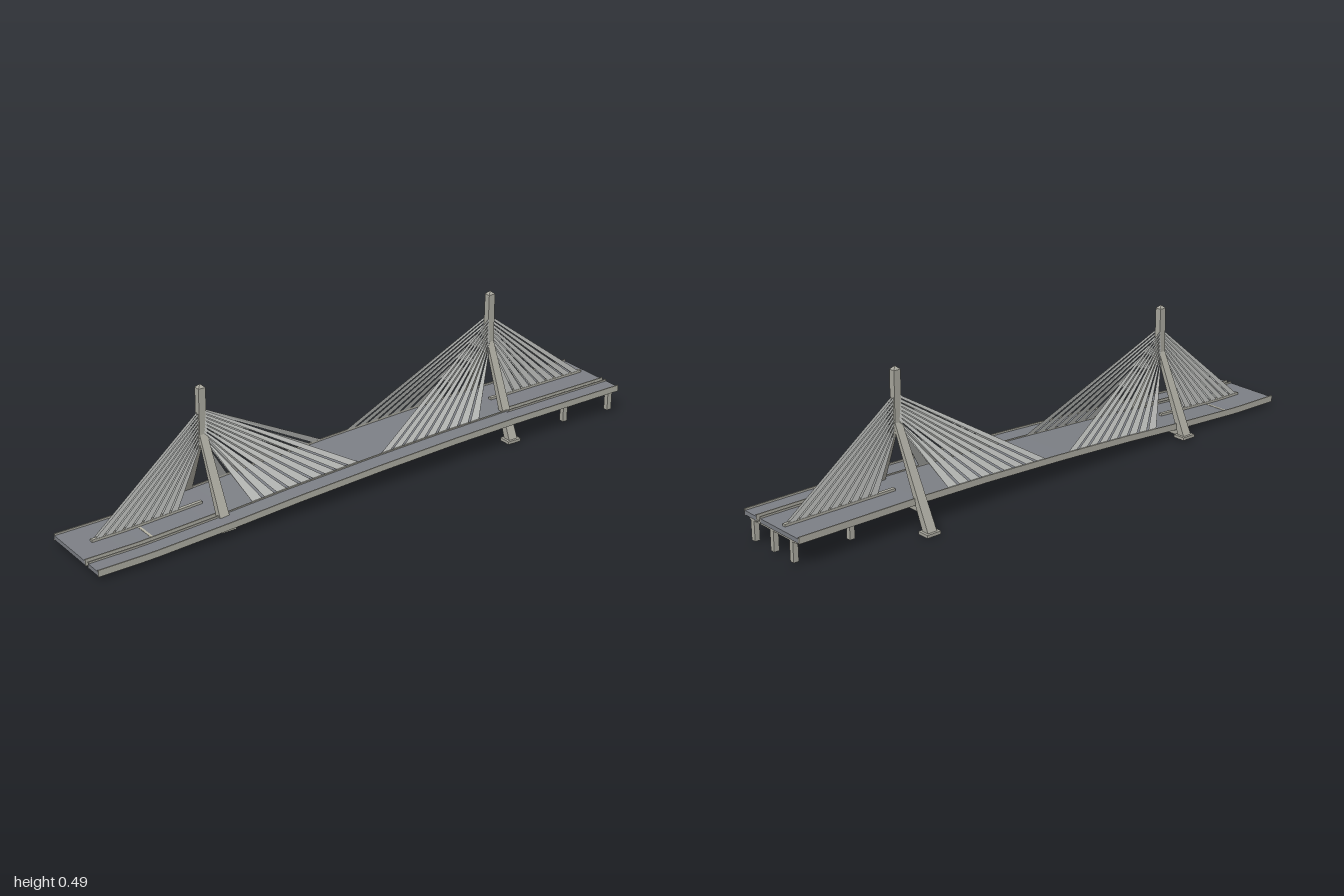
import * as THREE from 'three';

const mat = (name, color, side = THREE.FrontSide) => {
  const m = new THREE.MeshStandardMaterial({ color, side });
  m.name = name;
  return m;
};

// Road height along z: low at the front, rising to the back
const PROFILE = [[-1, 0.1], [-0.56, 0.098], [-0.3, 0.092], [0, 0.08], [0.3, 0.064], [0.53, 0.048], [0.82, 0.032], [1, 0.03]];
function roadY(z) {
  for (let i = 1; i < PROFILE.length; i++) {
    const [z0, y0] = PROFILE[i - 1], [z1, y1] = PROFILE[i];
    if (z <= z1) return y0 + (y1 - y0) * (z - z0) / (z1 - z0);
  }
  return 0.03;
}

export function createModel() {
  const asphalt = mat('asphalt', 0x7d8086);
  const concrete = mat('concrete', 0xaaa99f);
  const cable = mat('cable', 0xc2c4c1, THREE.DoubleSide);
  const joint = mat('joint', 0xb8b5a6);
  const model = new THREE.Group();

  const add = (parent, name, geometry, material) => {
    const m = new THREE.Mesh(geometry, material);
    m.name = name;
    parent.add(m);
    return m;
  };
  const box = (parent, name, [x, y, z], [w, h, d], material = concrete) => {
    const m = add(parent, name, new THREE.BoxGeometry(w, h, d), material);
    m.position.set(x, y, z);
    return m;
  };

  // Long bar that follows the road; lo and hi are heights relative to the surface
  function strip(name, x0, x1, z0, z1, lo, hi, material) {
    const g = new THREE.BoxGeometry(x1 - x0, hi - lo, z1 - z0, 1, 1, 40);
    g.translate((x0 + x1) / 2, (lo + hi) / 2, (z0 + z1) / 2);
    const p = g.attributes.position;
    for (let i = 0; i < p.count; i++) p.setY(i, p.getY(i) + roadY(p.getZ(i)));
    g.computeVertexNormals();
    return add(model, name, g, material);
  }

  // Four-sided tapered column with level ends: bottom and top are [x, y, width, depth]
  function taper(parent, name, bottom, top) {
    const g = new THREE.BoxGeometry(1, 1, 1);
    const p = g.attributes.position;
    for (let i = 0; i < p.count; i++) {
      const [x, y, w, d] = p.getY(i) < 0 ? bottom : top;
      p.setXYZ(i, x + p.getX(i) * w, y, p.getZ(i) * d);
    }
    g.computeVertexNormals();
    return add(parent, name, g, concrete);
  }

  // Roadways: main deck, side ramp and the filler joining them mid-span
  const gapBack = -0.57, gapFront = 0.55;
  strip('mainDeck', -0.102, 0.086, -1, 1, -0.014, 0, asphalt);
  strip('sideRamp', 0.109, 0.165, -1, 1, -0.014, 0, asphalt);
  strip('deckFiller', 0.086, 0.109, gapBack, gapFront, -0.014, 0, asphalt);

  // Edge beams with low parapets
  strip('leftEdgeBeam', -0.106, -0.102, -1, 1, -0.016, 0.006, concrete);
  strip('rampOuterEdgeBeam', 0.165, 0.169, -1, 1, -0.016, 0.006, concrete);
  for (const [z0, z1] of [[-1, gapBack], [gapFront, 1]]) {
    strip('mainInnerEdgeBeam', 0.086, 0.09, z0, z1, -0.016, 0.006, concrete);
    strip('rampInnerEdgeBeam', 0.105, 0.109, z0, z1, -0.016, 0.006, concrete);
  }
  strip('rampDivider', 0.098, 0.102, gapBack, gapFront, 0, 0.004, concrete);
  strip('frontSpine', -0.01, 0.002, 0.55, 0.93, 0, 0.008, concrete);
  strip('backSpine', -0.01, 0.002, -0.98, -0.58, 0, 0.008, concrete);
  strip('deckJoint', -0.102, 0.086, 0.768, 0.776, 0, 0.001, joint);

  // Piers in rows of three, with a cap beam
  for (const [z, foot] of [[-0.985, 0.01], [-0.785, 0.02], [0.775, 0.009]]) {
    const row = new THREE.Group();
    row.name = 'pierRow';
    model.add(row);
    const top = roadY(z) - 0.013;
    for (const x of [-0.057, 0.04, 0.138]) {
      box(row, 'pier', [x, (foot + top) / 2, z], [0.017, top - foot, 0.018]);
    }
    if (z < 0) box(row, 'pierCap', [0.032, top - 0.005, z], [0.24, 0.01, 0.018]);
  }

  // A fan of stays: tapered ribbons between the mast and a line on the deck
  function stayFan(name, mastX, mastZ, yHigh, yLow, deckX, zFar, zNear) {
    const pos = [], n = 9, fill = 0.8;
    const mast = t => [mastX, yHigh + (yLow - yHigh) * t, mastZ];
    const deck = t => {
      const z = zFar + (zNear - zFar) * t;
      return [deckX, roadY(z) + 0.003, z];
    };
    for (let i = 0; i < n; i++) {
      const a = i / n, b = (i + fill) / n;
      pos.push(...mast(a), ...deck(a), ...deck(b), ...mast(a), ...deck(b), ...mast(b));
    }
    const g = new THREE.BufferGeometry();
    g.setAttribute('position', new THREE.Float32BufferAttribute(pos, 3));
    g.computeVertexNormals();
    add(model, name, g, cable);
  }

  // Two inverted-Y towers with their stays
  const cx = -0.004;
  const towers = [
    { name: 'backTower', z: -0.566, base: 0, feet: [-0.152, 0.126], fork: 0.285, top: 0.49,
      yHigh: 0.405, yLow: 0.3, main: [-0.055, -0.46], back: [-0.975, -0.64] },
    { name: 'frontTower', z: 0.541, base: 0.008, feet: [-0.127, 0.118], fork: 0.25, top: 0.44,
      yHigh: 0.36, yLow: 0.26, main: [0.035, 0.44], back: [0.925, 0.63] },
  ];
  for (const t of towers) {
    const tower = new THREE.Group();
    tower.name = t.name;
    tower.position.z = t.z;
    model.add(tower);

    for (const x of t.feet) {
      const side = Math.sign(x);
      box(tower, 'footing', [x, t.base + 0.005, 0], [0.043, 0.01, 0.052]);
      taper(tower, 'leg', [x, t.base + 0.009, 0.027, 0.034], [cx + side * 0.005, t.fork + 0.03, 0.012, 0.026]);
    }

    // Mast with a pyramid cap
    taper(tower, 'mast', [cx, t.fork - 0.015, 0.022, 0.027], [cx, t.top - 0.01, 0.022, 0.024]);
    taper(tower, 'mastCap', [cx, t.top - 0.01, 0.022, 0.024], [cx, t.top, 0.003, 0.003]);

    // Cross beam carrying the deck
    const beamY = roadY(t.z) - 0.025;
    const k = (beamY - t.base) / (t.fork + 0.03 - t.base);
    const [xl, xr] = t.feet.map(x => x + (cx - x) * k);
    box(tower, 'crossBeam', [(xl + xr) / 2, beamY, 0], [xr - xl, 0.02, 0.026]);

    // Main span stays spread to the deck edges; back stays drop to the spine
    for (const [mx, dx] of [[cx - 0.009, -0.103], [cx + 0.009, 0.098]]) {
      stayFan('mainStays', mx, t.z, t.yHigh, t.yLow, dx, ...t.main);
    }
    for (const s of [-1, 1]) {
      stayFan('backStays', cx + s * 0.005, t.z, t.yHigh, t.yLow, cx + s * 0.005, ...t.back);
    }
  }
  return model;
}
